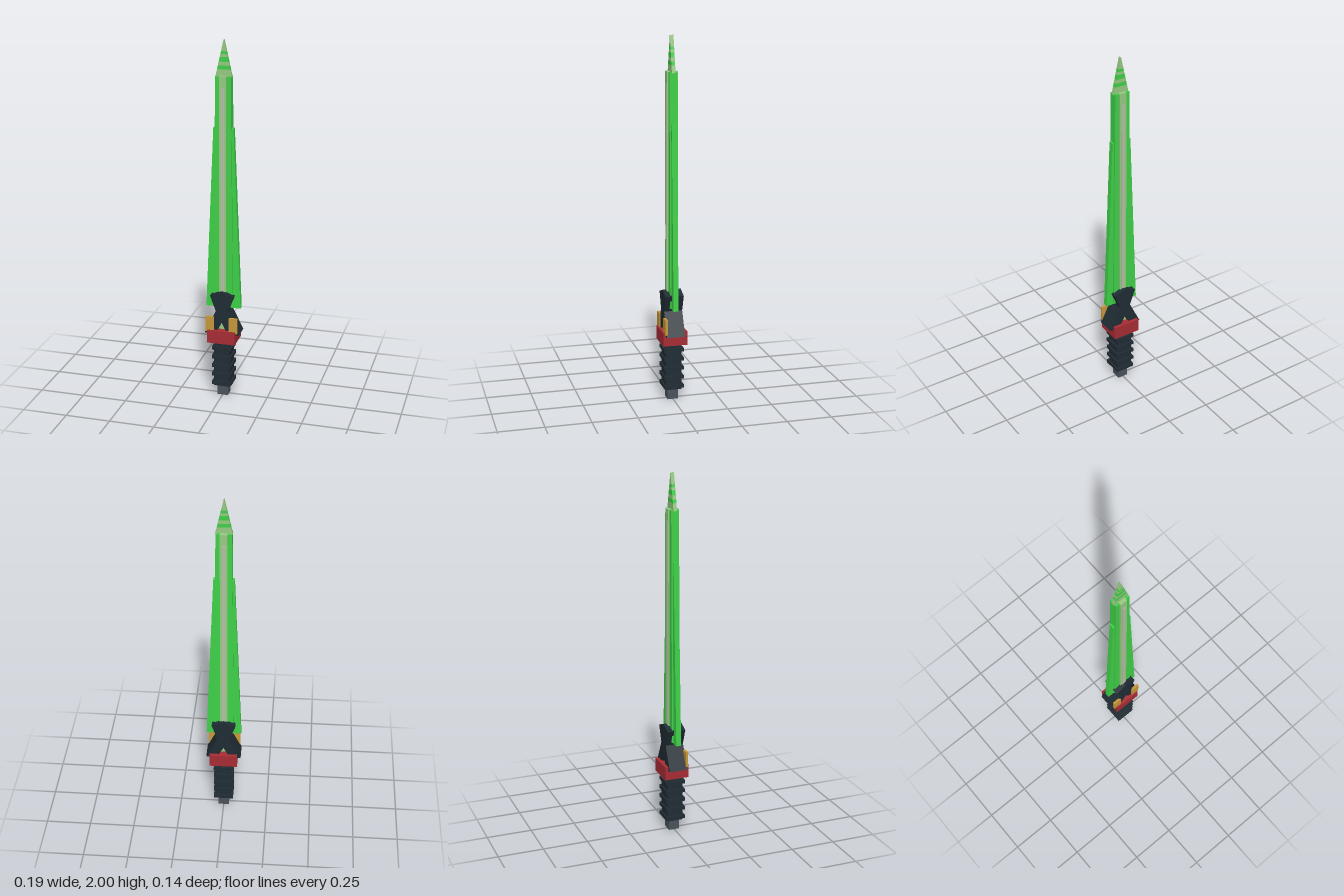
import * as THREE from 'three';

const mat = (name, color) => {
  const m = new THREE.MeshStandardMaterial({ color });
  m.name = name;
  return m;
};

export function createModel() {
  const green = mat('bright green', 0x3fd148);
  const pale = mat('pale green', 0x97cb82);
  const grey = mat('pale grey', 0xb3bfa6);
  const dark = mat('dark slate', 0x202c34);
  const steel = mat('steel grey', 0x4a525b);
  const red = mat('red', 0xa82c34);
  const gold = mat('gold', 0xc8983a);

  const sword = new THREE.Group();
  sword.name = 'sword';

  const add = (name, geometry, material) => {
    const mesh = new THREE.Mesh(geometry, material);
    mesh.name = name;
    sword.add(mesh);
    return mesh;
  };
  // Box given by its limits on each axis
  const box = (name, material, x0, x1, y0, y1, z0, z1) =>
    add(name, new THREE.BoxGeometry(x1 - x0, y1 - y0, z1 - z0), material)
      .position.set((x0 + x1) / 2, (y0 + y1) / 2, (z0 + z1) / 2);
  // Flat outline, extruded evenly to both sides of z = 0
  const plate = (name, material, points, halfDepth) => {
    const shape = new THREE.Shape(points.map(([x, y]) => new THREE.Vector2(x, y)));
    const g = new THREE.ExtrudeGeometry(shape, { depth: halfDepth * 2, bevelEnabled: false });
    return add(name, g.translate(0, 0, -halfDepth), material);
  };
  // Symmetrical slab that tapers from half width w0 at y0 to w1 at y1
  const taper = (name, material, y0, w0, y1, w1, halfDepth) =>
    plate(name, material, [[-w0, y0], [w0, y0], [w1, y1], [-w1, y1]], halfDepth);

  // Pommel and ribbed grip
  box('pommel', steel, -0.03, 0.03, 0, 0.07, -0.03, 0.03);
  box('grip', dark, -0.045, 0.045, 0.06, 0.33, -0.045, 0.045);
  for (let i = 0; i < 5; i++) {
    const y = 0.08 + i * 0.0525;
    box('gripRib', dark, -0.055, 0.055, y - 0.01, y + 0.01, -0.055, 0.055);
  }

  // Guard with two gold plates on its front
  box('guard', red, -0.078, 0.078, 0.325, 0.4, -0.07, 0.067);
  for (const s of [-1, 1]) {
    const x = s * 0.066;
    box('goldPlate', gold, x - 0.024, x + 0.024, 0.39, 0.478, 0.045, 0.059);
  }

  // Cross-shaped blade holder
  plate('bladeHolder', dark, [
    [0, 0.445], [0.038, 0.375], [0.097, 0.378], [0.033, 0.51], [0.066, 0.6],
    [0, 0.625], [-0.066, 0.6], [-0.033, 0.51], [-0.097, 0.378], [-0.038, 0.375],
  ], 0.051);

  // Blade: thin edges, thicker body, raised ridge and narrow inlay
  taper('bladeEdges', green, 0.525, 0.097, 1.535, 0.055, 0.014);
  taper('bladeBody', green, 0.53, 0.056, 1.81, 0.042, 0.022);
  box('bladeRidge', pale, -0.02, 0.02, 0.4, 1.812, -0.03, 0.03);
  box('ridgeInlay', grey, -0.009, 0.009, 0.56, 1.75, -0.033, 0.033);

  // Banded tip
  const bands = [1.805, 1.845, 1.865, 1.885, 1.91, 1.925, 1.94, 2];
  const width = y => 0.0005 + (2 - y) * 0.225;
  for (let i = 0; i < bands.length - 1; i++) {
    const [a, b] = [bands[i], bands[i + 1]];
    taper('tipBand', i % 2 ? green : pale, a, width(a), b, width(b), 0.01);
  }

  return sword;
}
